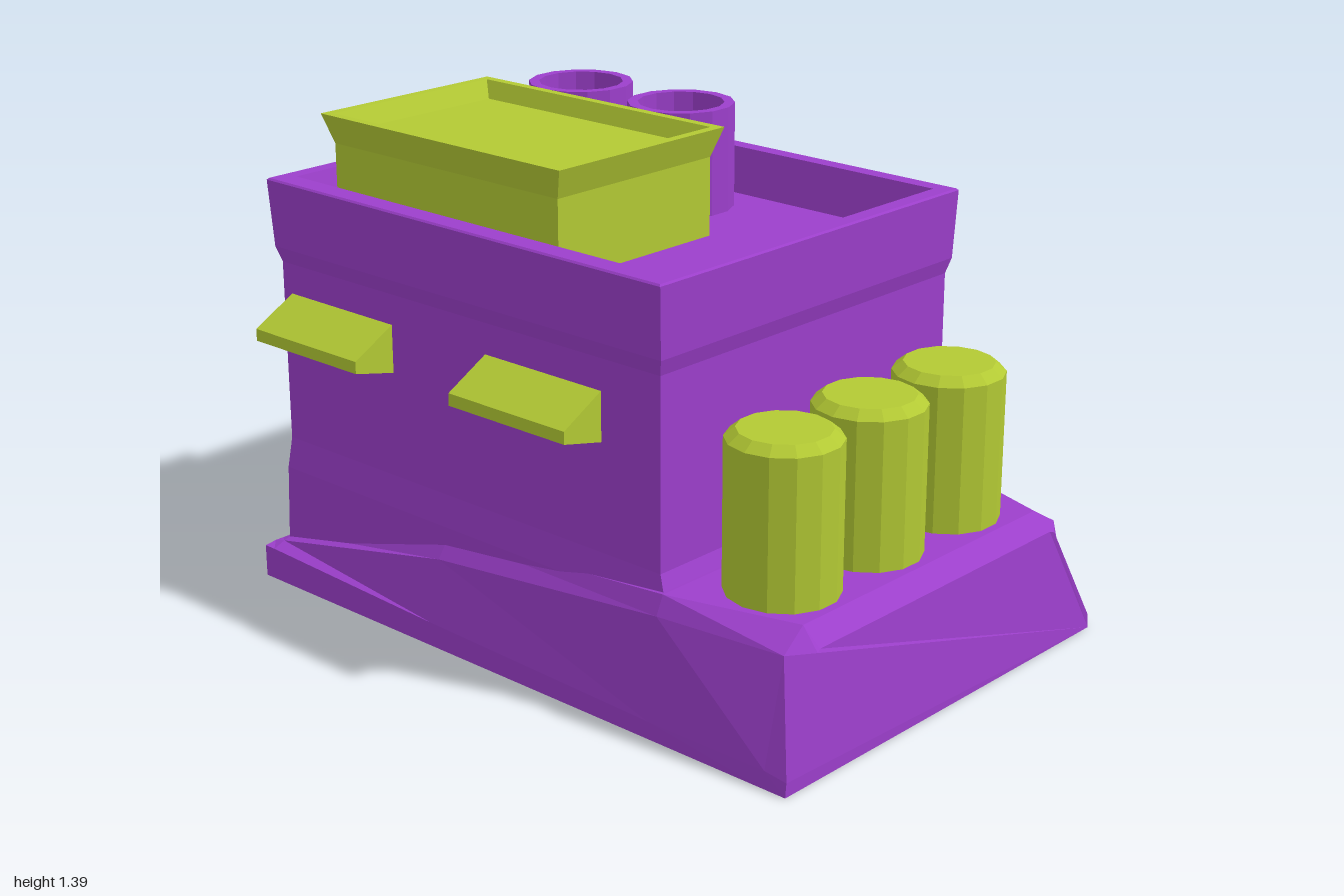
import * as THREE from 'three';

const purple = new THREE.MeshStandardMaterial({ color: 0x9c3fcb, flatShading: true });
const lime = new THREE.MeshStandardMaterial({ color: 0xb3c934, flatShading: true });
const black = new THREE.MeshStandardMaterial({ color: 0x111111 });

// Skin a row of equal-length closed rings and cap both ends
function loft(rings) {
  const pos = [];
  const tri = (a, b, c) => pos.push(...a, ...b, ...c);
  const n = rings[0].length;
  for (let r = 0; r < rings.length - 1; r++) {
    for (let i = 0; i < n; i++) {
      const j = (i + 1) % n;
      const a = rings[r][i], b = rings[r][j], c = rings[r + 1][j], d = rings[r + 1][i];
      tri(a, b, c);
      tri(a, c, d);
    }
  }
  const first = rings[0], last = rings[rings.length - 1];
  for (let i = 1; i < n - 1; i++) {
    tri(first[0], first[i + 1], first[i]);
    tri(last[0], last[i], last[i + 1]);
  }
  const g = new THREE.BufferGeometry();
  g.setAttribute('position', new THREE.Float32BufferAttribute(pos, 3));
  g.computeVertexNormals();
  return g;
}

// Horizontal rectangle ring
const rect = ([y, x0, x1, z0, z1]) => [[x0, y, z1], [x1, y, z1], [x1, y, z0], [x0, y, z0]];

// Ring across the model, from [x, y, halfWidth] points listed bottom to top
const ZC = -0.012;
const across = (pts) => [
  ...pts.map(([x, y, z]) => [x, y, ZC - z]),
  ...pts.slice().reverse().map(([x, y, z]) => [x, y, ZC + z]),
];

export function createModel() {
  const model = new THREE.Group();
  const add = (name, geometry, material, x = 0, y = 0, z = 0) => {
    const m = new THREE.Mesh(geometry, material);
    m.name = name;
    m.position.set(x, y, z);
    model.add(m);
    return m;
  };

  // Sloping skirt that rises into the tank deck
  add('skirt', loft([
    [[-1, 0, 0.668], [-1, 0.095, 0.668], [-1, 0.1, 0.63], [-1, 0.1, 0.6]],
    [[-0.96, 0, 0.668], [-0.96, 0.095, 0.668], [-0.96, 0.11, 0.63], [-0.96, 0.12, 0.59]],
    [[-0.28, 0, 0.668], [-0.28, 0.07, 0.668], [-0.28, 0.25, 0.632], [-0.28, 0.31, 0.59]],
    [[0.54, 0, 0.668], [0.54, 0.05, 0.668], [0.54, 0.335, 0.635], [0.54, 0.388, 0.61]],
    [[0.93, 0, 0.668], [0.93, 0.05, 0.666], [0.92, 0.33, 0.585], [0.91, 0.382, 0.5]],
    [[1, 0, 0.668], [1, 0.04, 0.664], [0.97, 0.33, 0.515], [0.965, 0.335, 0.5]],
  ].map(across)), purple);

  // Building walls, flared parapet and sunken roof
  add('building', loft([
    [0.05, -0.965, 0.55, -0.62, 0.595],
    [0.34, -0.95, 0.55, -0.62, 0.595],
    [0.43, -0.945, 0.515, -0.6, 0.58],
    [0.965, -0.945, 0.515, -0.6, 0.58],
    [1.01, -0.96, 0.528, -0.612, 0.592],
    [1.205, -0.97, 0.535, -0.622, 0.602],
    [1.21, -0.965, 0.53, -0.617, 0.597],
    [1.21, -0.92, 0.485, -0.57, 0.535],
    [1.08, -0.88, 0.445, -0.535, 0.505],
  ].map(rect)), purple);

  // Rooftop tray with flared rim
  add('roofTray', loft([
    [1.07, -0.84, 0.04, -0.14, 0.455],
    [1.305, -0.84, 0.04, -0.14, 0.455],
    [1.39, -0.87, 0.07, -0.165, 0.478],
    [1.39, -0.843, 0.042, -0.138, 0.452],
    [1.34, -0.812, 0.012, -0.115, 0.432],
  ].map(rect)), lime);

  // Chimneys with dark flues
  const pipe = [[0.155, 1.07], [0.155, 1.385], [0.125, 1.385], [0.125, 1.08]]
    .map(([r, y]) => new THREE.Vector2(r, y));
  for (const x of [-0.64, -0.24]) {
    add('chimney', new THREE.LatheGeometry(pipe, 14), purple, x, 0, -0.33);
    add('flue', new THREE.CircleGeometry(0.126, 14).rotateX(-Math.PI / 2), black, x, 1.095, -0.33);
  }

  // Storage tanks with chamfered tops
  const tank = [[0.155, 0.36], [0.155, 0.8], [0.125, 0.825], [0, 0.825]]
    .map(([r, y]) => new THREE.Vector2(r, y));
  for (const z of [-0.33, 0.015, 0.36]) {
    add('tank', new THREE.LatheGeometry(tank, 14), lime, 0.735, 0, z);
  }

  // Window awnings, two at the front and one at the back
  const awning = loft([-0.2125, 0.2125].map((x) => [
    [x, 0.768, 0.715], [x, 0.735, 0.57], [x, 0.882, 0.57], [x, 0.803, 0.715],
  ]));
  add('frontAwning', awning, lime, -0.6975);
  add('frontAwning', awning, lime, 0.0975);
  add('backAwning', awning, lime, -0.6975, -0.016).rotation.y = Math.PI;

  return model;
}
